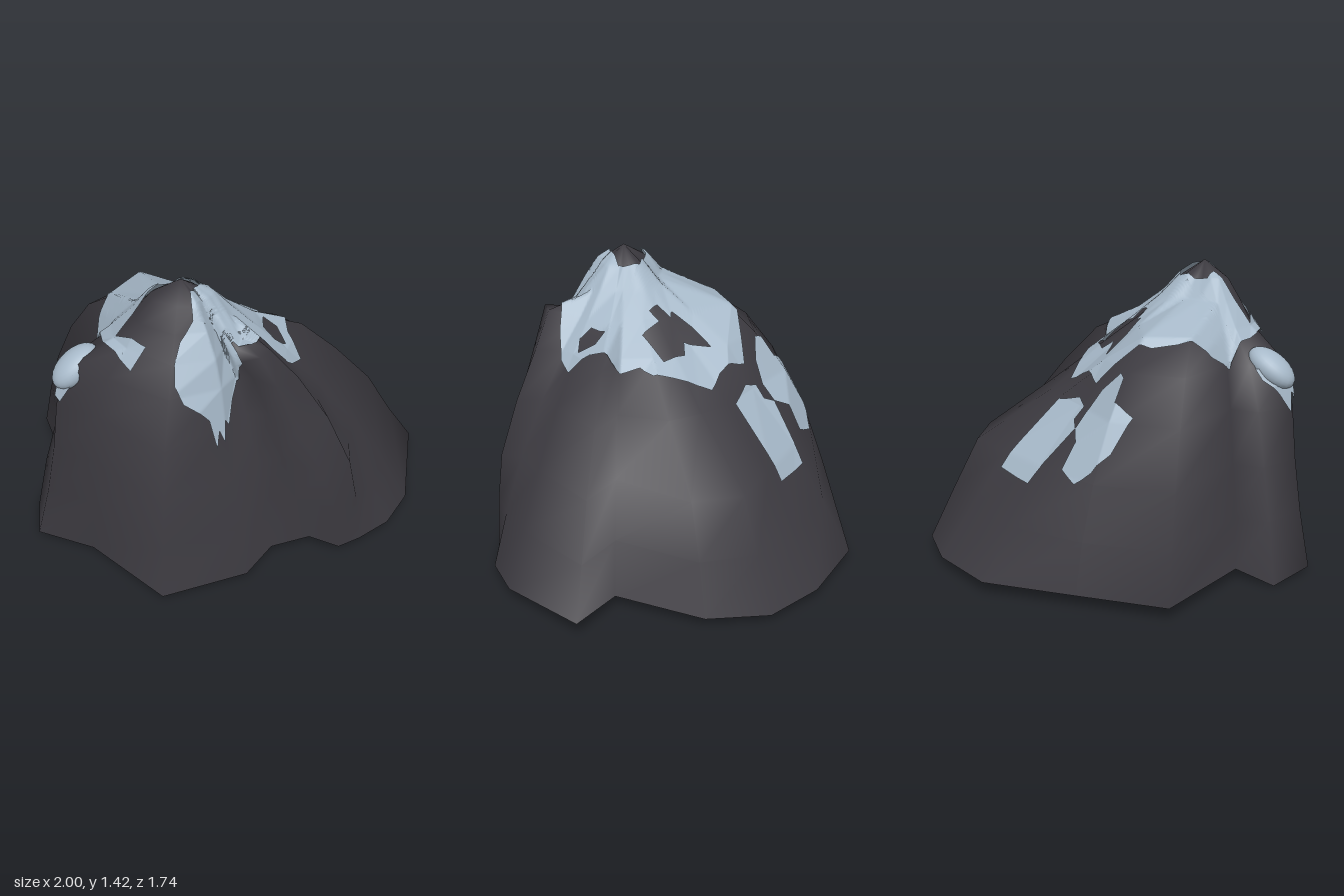
import * as THREE from 'three';
import { mergeVertices } from 'three/addons/utils/BufferGeometryUtils.js';

const rockMat = new THREE.MeshStandardMaterial({ color: 0x3c3a40, side: THREE.DoubleSide });
rockMat.name = 'dark rock';
const snowMat = new THREE.MeshStandardMaterial({ color: 0xa6b8c8, side: THREE.DoubleSide });
snowMat.name = 'blue snow';

// Mountain: spokes run from the summit down to the foot.
const SUMMIT = [-0.32, 1.42, 0.3];
const LEVELS = [1.34, 1.24, 1.13, 1.0, 0.8, 0.55, 0.3];
// Straight spokes: foot point, then how far out the spoke is at each level (0 summit, 1 foot)
const RIGHT_SPOKES = [
  [[1, 0.08, 0.37], [0.09, 0.16, 0.27, 0.47, 0.62, 0.78, 0.89]],
  [[0.71, 0.05, 0.74], [0.12, 0.2, 0.3, 0.42, 0.58, 0.74, 0.88]],
  [[0.52, 0.05, 0.85], [0.13, 0.21, 0.32, 0.45, 0.62, 0.78, 0.9]],
];
const OTHER_SPOKES = [
  [[-0.07, 0.05, 0.72], [0.18, 0.3, 0.42, 0.55, 0.68, 0.82, 0.92]],
  [[-0.26, 0.04, 0.81], [0.24, 0.36, 0.48, 0.56, 0.63, 0.78, 0.9]],
  [[-0.67, 0.03, 0.74], [0.18, 0.3, 0.44, 0.58, 0.78, 0.88, 0.94]],
  [[-0.81, 0.02, 0.28], [0.26, 0.4, 0.53, 0.75, 0.86, 0.93, 0.97]],
  [[-1, 0.03, 0.06], [0.18, 0.28, 0.41, 0.75, 0.81, 0.85, 0.91]],
  [[-0.91, 0, -0.16], [0.18, 0.28, 0.42, 0.62, 0.74, 0.83, 0.92]],
  [[-0.72, 0.05, -0.17], [0.2, 0.34, 0.5, 0.64, 0.76, 0.86, 0.94]],
  [[-0.63, 0.06, -0.71], [0.08, 0.17, 0.43, 0.6, 0.74, 0.86, 0.94]],
  [[-0.2, 0.06, -0.79], [0.07, 0.15, 0.49, 0.61, 0.74, 0.87, 0.95]],
  [[0.25, 0.06, -0.87], [0.08, 0.16, 0.3, 0.45, 0.56, 0.74, 0.88]],
  [[0.59, 0.05, -0.71], [0.08, 0.15, 0.25, 0.36, 0.55, 0.75, 0.88]],
  [[0.8, 0.04, -0.5], [0.08, 0.15, 0.24, 0.36, 0.54, 0.82, 0.91]],
  [[0.87, 0.05, -0.2], [0.08, 0.15, 0.25, 0.38, 0.58, 0.84, 0.93]],
  [[0.74, 0.06, 0.23], [0.1, 0.19, 0.3, 0.44, 0.62, 0.78, 0.9]],
];
// Front buttress: right shoulder, crest, and the overhung wall on its other side
const BUTTRESS = [
  [[-0.22, 1.34, 0.37], [-0.13, 1.16, 0.51], [-0.06, 1.16, 0.64], [0.06, 1, 0.69], [0.18, 0.78, 0.77],
    [0.27, 0.53, 0.84], [0.31, 0.3, 0.86], [0.34, 0.04, 0.87]],
  [[-0.24, 1.34, 0.39], [-0.17, 1.14, 0.54], [-0.13, 1.16, 0.67], [-0.06, 1, 0.71], [0.02, 0.78, 0.77],
    [0.11, 0.53, 0.85], [0.18, 0.3, 0.87], [0.22, 0.04, 0.87]],
  [[-0.26, 1.34, 0.39], [-0.2, 1.16, 0.5], [-0.17, 1.08, 0.56], [-0.12, 1, 0.6], [-0.06, 0.8, 0.64],
    [0, 0.55, 0.68], [0.06, 0.3, 0.72], [0.12, 0.06, 0.76]],
];

function straightSpoke([foot, reach]) {
  const points = reach.map((t, r) => [
    SUMMIT[0] + (foot[0] - SUMMIT[0]) * t, LEVELS[r], SUMMIT[2] + (foot[2] - SUMMIT[2]) * t]);
  return [...points, foot];
}

function buildRock() {
  const spokes = [...RIGHT_SPOKES.map(straightSpoke), ...BUTTRESS, ...OTHER_SPOKES.map(straightSpoke)];
  const pos = [...SUMMIT], index = [], n = spokes.length, rings = LEVELS.length + 1;
  for (let r = 0; r < rings; r++) spokes.forEach(s => pos.push(...s[r]));
  for (let i = 0; i < n; i++) {
    const j = (i + 1) % n;
    index.push(0, 1 + j, 1 + i);
    for (let r = 0; r < rings - 1; r++) {
      const a = 1 + r * n + i, b = 1 + r * n + j;
      index.push(a, b, b + n, a, b + n, a + n);
    }
  }
  const g = new THREE.BufferGeometry();
  g.setAttribute('position', new THREE.Float32BufferAttribute(pos, 3));
  g.setIndex(index);
  g.computeVertexNormals();
  return new THREE.Mesh(g, rockMat);
}

// Directions in which flat snow outlines are laid onto the rock
const ABOVE = { from: (a, b) => [a, 3, b], dir: [0, -1, 0], flip: true };
const FRONT = { from: (a, b) => [a, b, 3], dir: [0, 0, -1], flip: false };
const SIDE = { from: (a, b) => [-3, b, a], dir: [1, 0, 0], flip: false };

function drape(rock, name, side, outline, holes = []) {
  const shape = new THREE.Shape(outline.map(p => new THREE.Vector2(...p)));
  shape.holes = holes.map(h => new THREE.Path(h.map(p => new THREE.Vector2(...p))));
  const flat = new THREE.ShapeGeometry(shape).toNonIndexed().attributes.position;
  let tris = [];
  for (let i = 0; i < flat.count; i += 3) {
    tris.push([0, 1, 2].map(k => [flat.getX(i + k), flat.getY(i + k)]));
  }
  const mid = (p, q) => [(p[0] + q[0]) / 2, (p[1] + q[1]) / 2];
  for (let s = 0; s < 5; s++) {
    tris = tris.flatMap(([a, b, c]) => {
      const d = mid(a, b), e = mid(b, c), f = mid(c, a);
      return [[a, d, f], [d, b, e], [f, e, c], [d, e, f]];
    });
  }
  const ray = new THREE.Raycaster(), cache = new Map();
  const land = p => {
    const key = p[0].toFixed(5) + ',' + p[1].toFixed(5);
    if (!cache.has(key)) {
      ray.set(new THREE.Vector3(...side.from(...p)), new THREE.Vector3(...side.dir));
      const hit = ray.intersectObject(rock)[0];
      cache.set(key, hit ? hit.point.clone().addScaledVector(hit.normal.normalize(), 0.018) : null);
    }
    return cache.get(key);
  };
  const pos = [];
  for (const t of tris) {
    const pts = t.map(land);
    if (pts.includes(null)) continue;
    if (side.flip) pts.reverse();
    pts.forEach(p => pos.push(p.x, p.y, p.z));
  }
  let g = new THREE.BufferGeometry();
  g.setAttribute('position', new THREE.Float32BufferAttribute(pos, 3));
  g = mergeVertices(g, 1e-4);
  g.computeVertexNormals();
  const mesh = new THREE.Mesh(g, snowMat);
  mesh.name = name;
  return mesh;
}

export function createModel() {
  const group = new THREE.Group();
  group.name = 'mountain';
  const rock = buildRock();
  rock.name = 'rockSlopes';
  group.add(rock);

  // Snow cap around the bare summit, with two rocky gaps
  group.add(drape(rock, 'snowCap', ABOVE, [
    [-0.06, -0.31], [0, -0.25], [0.07, -0.2], [0.16, -0.17], [0.18, -0.05], [0.2, 0.1], [0.17, 0.17],
    [0.21, 0.3], [0.17, 0.4], [0.18, 0.5], [0.1, 0.55], [0, 0.57], [-0.12, 0.57], [-0.19, 0.51],
    [-0.3, 0.5], [-0.42, 0.52], [-0.46, 0.5], [-0.41, 0.46], [-0.34, 0.44], [-0.31, 0.36],
    [-0.2, 0.31], [-0.24, 0.22], [-0.38, 0.21], [-0.39, 0.24], [-0.59, 0.21], [-0.52, 0.36],
    [-0.6, 0.36], [-0.64, 0.18], [-0.6, 0.05], [-0.58, -0.02], [-0.53, -0.1], [-0.4, -0.19], [-0.31, -0.25],
  ], [
    [[-0.03, -0.15], [0, -0.02], [0.06, -0.03], [0.13, 0.06], [0.04, 0.17], [-0.04, 0.1],
      [-0.07, 0.15], [-0.11, 0.12], [-0.08, 0.05], [-0.11, 0.05], [-0.08, -0.06]],
    [[0.07, 0.34], [0.12, 0.38], [0.12, 0.46], [0.06, 0.46], [0.03, 0.41]],
  ]));

  // Tongue of snow with icicle tips on the front face
  group.add(drape(rock, 'frontSnowTongue', FRONT, [
    [-0.38, 1.2], [-0.45, 1.15], [-0.48, 1.05], [-0.46, 0.97], [-0.4, 0.92], [-0.36, 0.87], [-0.335, 0.72],
    [-0.315, 0.8], [-0.295, 0.74], [-0.28, 0.84], [-0.26, 0.81], [-0.22, 0.91], [-0.17, 0.99],
    [-0.16, 1.1], [-0.2, 1.2], [-0.3, 1.25],
  ]));

  // Two patches on the back slope
  group.add(drape(rock, 'backSnowPatchRight', ABOVE, [
    [-0.33, -0.47], [-0.27, -0.57], [-0.2, -0.62], [-0.12, -0.64], [-0.03, -0.59], [-0.07, -0.53],
    [-0.03, -0.46], [-0.06, -0.4], [-0.12, -0.36], [-0.21, -0.35], [-0.24, -0.38], [-0.23, -0.45],
  ]));
  group.add(drape(rock, 'backSnowPatchLeft', ABOVE, [
    [-0.03, -0.46], [0.14, -0.61], [0.35, -0.51], [0.16, -0.28], [0.02, -0.32], [-0.03, -0.37], [0, -0.41],
  ]));

  // Snow on the side shoulder: a rounded mound and a drip down its face
  const mound = new THREE.Mesh(new THREE.SphereGeometry(1, 24, 16), snowMat);
  mound.name = 'shoulderSnowMound';
  mound.scale.set(0.13, 0.07, 0.085);
  mound.rotation.z = 0.6;
  mound.position.set(-0.76, 0.98, 0.1);
  group.add(mound);
  group.add(drape(rock, 'shoulderSnowDrip', SIDE, [
    [0.02, 0.98], [0.02, 0.93], [0.05, 0.87], [0.08, 0.78], [0.1, 0.87], [0.13, 0.83], [0.16, 0.91], [0.17, 0.98],
  ]));
  return group;
}
